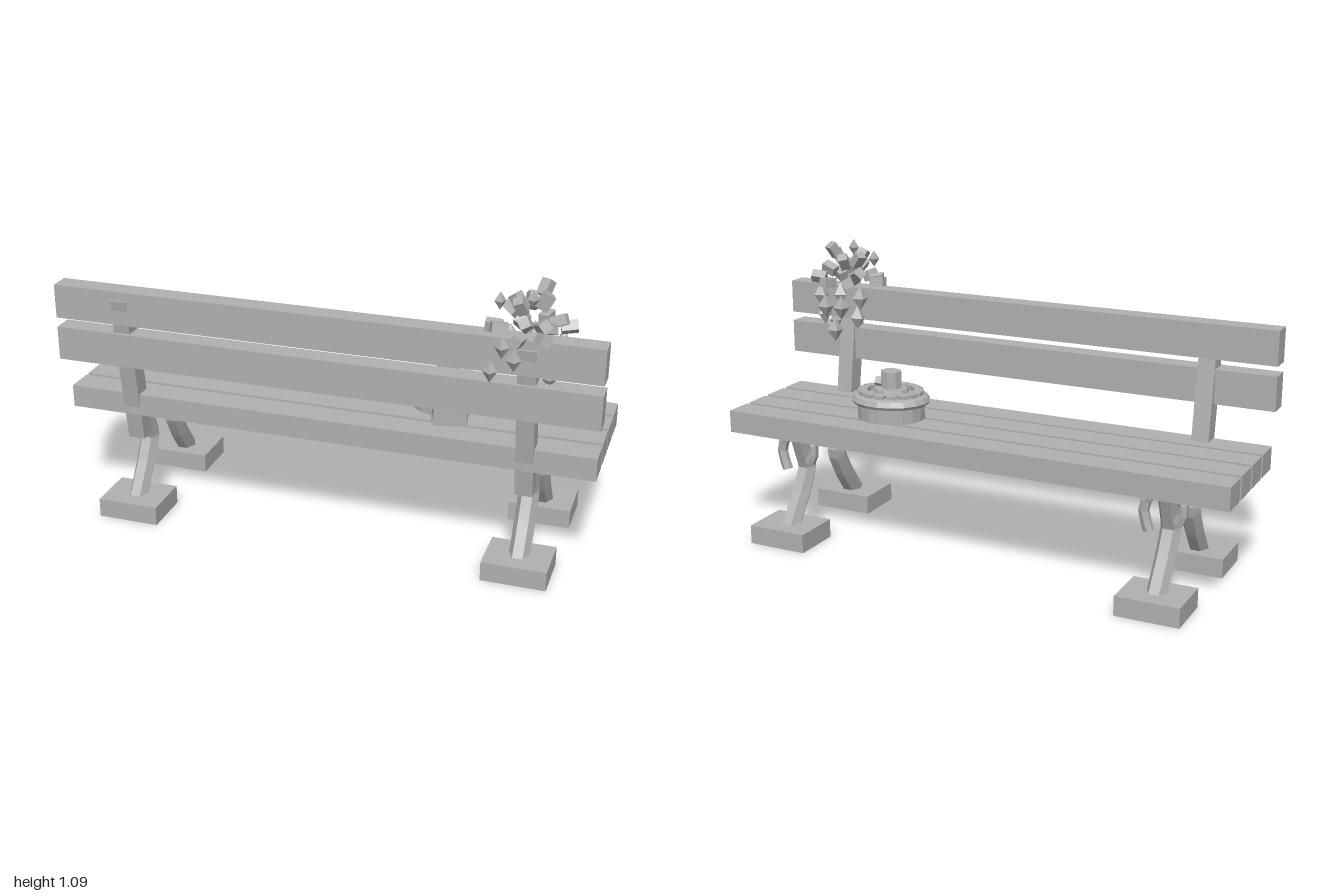
import * as THREE from 'three';

export function createModel() {
  const bench = new THREE.Group();
  bench.name = 'bench';
  const grey = new THREE.MeshStandardMaterial({ color: 0xb0b0b0, flatShading: true, side: THREE.DoubleSide });
  grey.name = 'plain grey';

  function add(name, geometry, x = 0, y = 0, z = 0, parent = bench) {
    const mesh = new THREE.Mesh(geometry, grey);
    mesh.name = name;
    mesh.position.set(x, y, z);
    parent.add(mesh);
    return mesh;
  }
  const box = (w, h, d) => new THREE.BoxGeometry(w, h, d);

  // A faceted tube through a few points
  function tube(points, segments, radius, sides, tension) {
    const curve = new THREE.CatmullRomCurve3(points.map(p => new THREE.Vector3(...p)), false, 'catmullrom', tension);
    return new THREE.TubeGeometry(curve, segments, radius, sides);
  }

  // Seat slats and backrest boards
  for (const z of [0.153, 0.028, -0.097, -0.222]) add('seatSlat', box(1.98, 0.085, 0.108), 0, 0.4475, z);
  for (const y of [0.848, 0.685]) add('backBoard', box(2, 0.127, 0.078), 0, y, 0.228);

  // Two identical end frames
  for (const x of [-0.745, 0.741]) {
    const frame = new THREE.Group();
    frame.name = 'endFrame';
    frame.position.x = x;
    bench.add(frame);

    // Leaning post behind the boards
    const post = add('backPost', box(0.064, 0.585, 0.068), 0, 0.593, 0.196, frame);
    post.rotation.x = Math.atan(25 / 168);

    // Bent hexagonal legs on block feet, mirrored about the seat's middle
    for (const side of [1, -1]) {
      const mid = -0.03;
      const place = z => mid + side * (z - mid);
      const path = [[0.215, 0.04], [0.125, 0.165], [0.072, 0.265], [0.128, 0.42]];
      add('leg', tube(path.map(([z, y]) => [0, y, place(z)]), 24, 0.038, 6, 0.1), 0, 0, 0, frame);
      add('foot', box(0.235, 0.072, 0.19), 0, 0.036, place(0.204), frame);
    }

    // Curled bracket hooked over the leg
    add('curledBracket', tube([[-0.035, 0.29, 0], [-0.055, 0.35, 0], [-0.01, 0.412, 0], [0.055, 0.395, 0],
      [0.09, 0.33, 0], [0.07, 0.25, 0]], 10, 0.02, 6, 0.5), 0, 0, -0.165, frame);
  }

  // Oval pot with a flared lip
  const pot = new THREE.Group();
  pot.name = 'pot';
  pot.position.set(0.396, 0, -0.07);
  pot.rotation.y = 0.1;
  pot.scale.set(1.16, 1, 1);
  bench.add(pot);
  const profile = [[0, 0.485], [0.112, 0.485], [0.112, 0.545], [0.124, 0.548], [0.131, 0.56],
    [0.122, 0.578], [0.1, 0.588], [0.085, 0.58], [0, 0.58]];
  add('potBody', new THREE.LatheGeometry(profile.map(p => new THREE.Vector2(...p)), 18), 0, 0, 0, pot);

  // Ring of small blocks around the lip
  const blocks = 16;
  for (let i = 0; i < blocks; i++) {
    const a = i / blocks * Math.PI * 2;
    const block = add('rimBlock', box(0.03, 0.03, 0.034), Math.cos(a) * 0.093, 0.583, Math.sin(a) * 0.093, pot);
    block.rotation.y = -a;
  }
  add('knobBase', new THREE.CylinderGeometry(0.055, 0.06, 0.02, 12), 0, 0.594, 0, pot);
  add('knob', new THREE.CylinderGeometry(0.036, 0.036, 0.066, 8), 0, 0.635, 0.005, pot);
  add('knobChip', box(0.03, 0.03, 0.03), 0.04, 0.62, 0.01, pot).rotation.x = 0.7;
  add('knobChip', box(0.03, 0.03, 0.03), 0.02, 0.613, 0.055, pot).rotation.x = 0.2;

  // Round drum resting against the pot
  const drum = add('sideDrum', new THREE.CylinderGeometry(0.066, 0.066, 0.09, 9), 0.44, 0.513, 0.067);
  drum.rotation.set(Math.PI / 2, 0, -0.25);

  // Plant cluster over the corner of the backrest
  const plant = new THREE.Group();
  plant.name = 'plant';
  bench.add(plant);
  const buds = [[0.66, 0.886, 0.29], [0.623, 0.797, 0.29], [0.70, 0.84, 0.28], [0.81, 0.765, 0.212],
    [0.75, 1.055, 0.264], [0.634, 1.025, 0.224], [0.72, 0.842, 0.11], [0.79, 0.842, 0.11], [0.75, 0.752, 0.11],
    [0.66, 0.877, 0.157], [0.84, 0.877, 0.157], [0.67, 0.8, 0.15], [0.82, 0.805, 0.15], [0.74, 0.89, 0.14]];
  buds.forEach(([x, y, z], i) => {
    const small = z > 0.2;
    const bud = add('bud', new THREE.OctahedronGeometry(1), x, y, z, plant);
    bud.scale.set(small ? 0.026 : 0.032, small ? 0.04 : 0.048, small ? 0.026 : 0.032);
    if (y > 1) bud.scale.multiplyScalar(0.8);
    bud.rotation.y = i * 0.1;
  });

  // Blocky petals pointing outward from the cluster's middle
  const petals = [[0.77, 1.06, 0.15], [0.71, 1.025, 0.255], [0.69, 1.02, 0.195], [0.79, 0.975, 0.29],
    [0.83, 0.973, 0.212], [0.73, 1.015, 0.157], [0.72, 0.935, 0.335], [0.64, 0.94, 0.25], [0.86, 0.943, 0.177],
    [0.77, 0.94, 0.1], [0.66, 0.973, 0.146], [0.615, 0.935, 0.22], [0.735, 0.98, 0.295], [0.80, 0.95, 0.24],
    [0.69, 0.94, 0.12], [0.80, 0.94, 0.31], [0.78, 1.03, 0.2], [0.71, 0.945, 0.2]];
  const petalShape = box(0.036, 0.036, 0.056);
  petals.forEach(([x, y, z], i) => {
    const petal = add('petal', petalShape, x, y, z, plant);
    petal.lookAt(x * 2 - 0.74, y + (y - 0.92) * 0.7, z * 2 - 0.21);
    petal.rotateZ(i * 0.7);
  });

  return bench;
}
